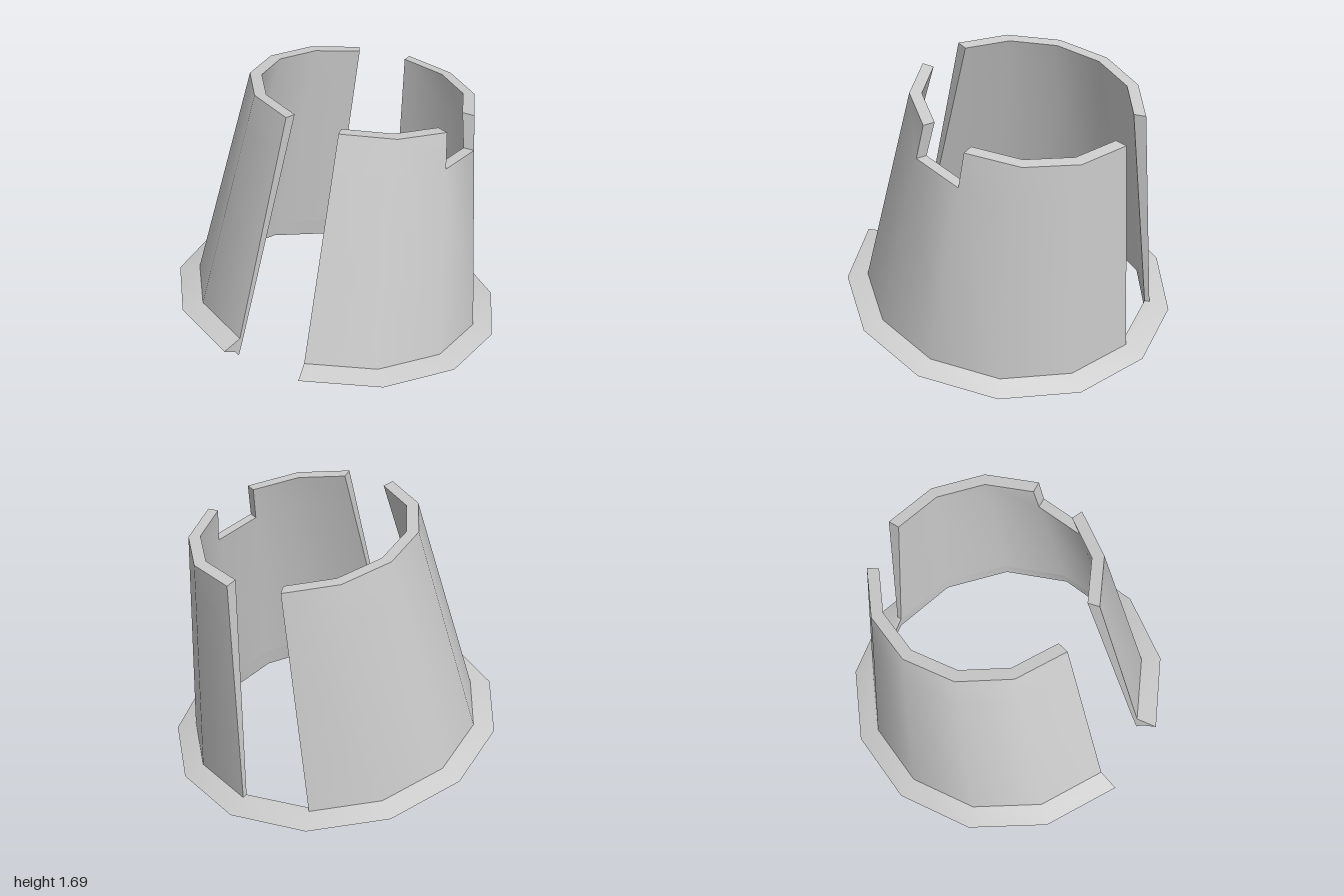
import * as THREE from 'three';
import { toCreasedNormals } from 'three/addons/utils/BufferGeometryUtils.js';

const SIDES = 13;
const TILT = 0.15; // slope of every level, high at the front

// Point at corner k of the ring with radius r and centre height h on the leaning axis
function point(k, [r, h]) {
  const a = (k / SIDES) * Math.PI * 2;
  const dz = 0.989 * r * Math.sin(a);
  return [r * Math.cos(a) - 0.012, h + TILT * dz, dz - TILT * (h - 0.22)];
}

// Tapering wall: outer and inner radius at height h
const BASE = 0.255, NOTCH = 1.39, TOP = 1.6;
const wall = (outer, h) => {
  const t = (h - BASE) / (TOP - BASE);
  return [outer ? 0.89 - 0.22 * t : 0.86 - 0.26 * t, h];
};
const wallLayer = (low, high) =>
  [wall(true, low), wall(true, high), wall(false, high), wall(false, low)];

// Layer profiles, each ending with outer top, inner top, inner bottom
const layers = [
  [[0.886, 0.135], [0.925, 0.178], [1.015, 0.22], [0.89, BASE], [0.86, BASE], [0.886, 0.135]],
  wallLayer(BASE, NOTCH),
  wallLayer(NOTCH, TOP),
];

// Front slot cuts every layer, rear slot stops at the flange, side notch only cuts the top
function filled(layer, k) {
  const s = (k + SIDES) % SIDES;
  if (layer >= layers.length || s === 2) return false;
  if (s === 8) return layer === 0;
  if (s === 12) return layer < 2;
  return true;
}

// Emit the exposed faces of the chosen layers
function ringGeometry(layerIds) {
  const pos = [];
  const tri = (...pts) => pts.forEach((p) => pos.push(...p));

  const cap = (k, profile, flip) => {
    const n = profile.length, c = n - 2;
    const last = profile[n - 1][1] === profile[0][1] && profile[n - 1][0] === profile[0][0] ? n - 1 : n;
    const order = [];
    for (let i = 1; i < n; i++) {
      const id = (c + i) % n;
      if (id < last) order.push(id);
    }
    for (let i = 0; i < order.length - 1; i++) {
      const a = point(k, profile[c]);
      const b = point(k, profile[order[i]]);
      const d = point(k, profile[order[i + 1]]);
      flip ? tri(a, d, b) : tri(a, b, d);
    }
  };

  for (const j of layerIds) {
    const profile = layers[j], n = profile.length;
    for (let k = 0; k < SIDES; k++) {
      if (!filled(j, k)) continue;
      for (let i = 0; i < n - 1; i++) {
        if (i === n - 3 && filled(j + 1, k)) continue; // covered by the layer above
        const a = point(k, profile[i]), b = point(k, profile[i + 1]);
        const c = point(k + 1, profile[i + 1]), d = point(k + 1, profile[i]);
        tri(a, b, c);
        tri(a, c, d);
      }
      if (!filled(j, k - 1)) cap(k, profile, true);
      if (!filled(j, k + 1)) cap(k + 1, profile, false);
    }
  }
  const geo = new THREE.BufferGeometry();
  geo.setAttribute('position', new THREE.Float32BufferAttribute(pos, 3));
  return toCreasedNormals(geo, 0.62);
}

export function createModel() {
  const group = new THREE.Group();
  group.name = 'splitTaperedSleeve';
  const material = new THREE.MeshStandardMaterial({ color: 0xcccccc });

  // Bottom flange and the slotted wall above it
  for (const [name, ids] of [['flange', [0]], ['sleeveWall', [1, 2]]]) {
    const mesh = new THREE.Mesh(ringGeometry(ids), material);
    mesh.name = name;
    group.add(mesh);
  }
  return group;
}
